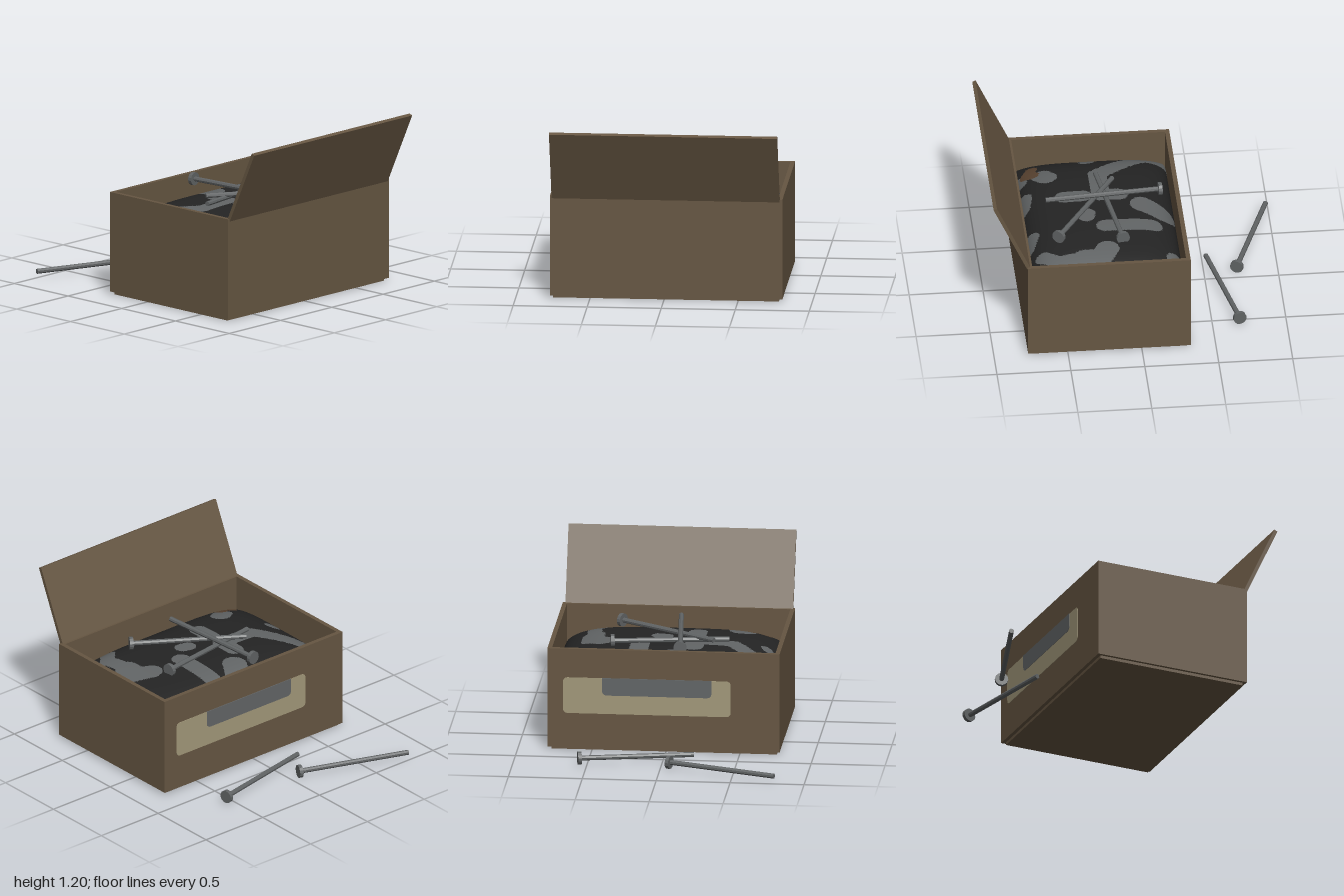
import * as THREE from 'three';

const mat = (name, color, extra = {}) => new THREE.MeshStandardMaterial({ name, color, ...extra });

export function createModel() {
  const model = new THREE.Group();
  model.name = 'boxOfNails';
  const cardboard = mat('cardboard', 0x665642);
  const paper = mat('label paper', 0xa2987a);
  const steel = mat('steel grey', 0x626566);
  const dark = mat('dark gap', 0x242424);
  const rust = mat('rust brown', 0x5c4532);
  const nailSteel = mat('nail steel', 0x606364, { flatShading: true });

  const add = (name, geo, material, parent = model) => {
    const m = new THREE.Mesh(geo, material);
    m.name = name;
    parent.add(m);
    return m;
  };
  // box given by its minimum and maximum corners
  const block = (name, a, b, material) => {
    const m = add(name, new THREE.BoxGeometry(b[0] - a[0], b[1] - a[1], b[2] - a[2]), material);
    m.position.set((a[0] + b[0]) / 2, (a[1] + b[1]) / 2, (a[2] + b[2]) / 2);
  };

  // carton: four walls, floor and inset base
  const X0 = -0.77, X1 = 0.8, Z0 = -0.33, Z1 = 0.77, T = 0.03;
  block('frontWall', [X0, 0.02, Z1 - T], [X1, 0.71, Z1], cardboard);
  block('backWall', [X0, 0.02, Z0], [X1, 0.71, Z0 + T], cardboard);
  block('rightWall', [X0, 0.02, Z0 + T], [X0 + T, 0.71, Z1 - T], cardboard);
  block('leftWall', [X1 - T, 0.02, Z0 + T], [X1, 0.71, Z1 - T], cardboard);
  block('floor', [X0 + T, 0.02, Z0 + T], [X1 - T, 0.05, Z1 - T], cardboard);
  block('base', [-0.75, 0, -0.305], [0.775, 0.02, 0.745], cardboard);

  // open lid leaning forwards
  const lid = add('lid', new THREE.BoxGeometry(1.54, 0.545, 0.025), cardboard);
  lid.position.set(0.012, 0.947, 0.877);
  lid.rotation.x = 0.43;

  // rounded plates on the back wall; rt and rb are the top and bottom radii
  const plate = (name, x0, x1, y0, y1, rt, rb, depth, material) => {
    const s = new THREE.Shape();
    s.moveTo(x0 + rb, y0).lineTo(x1 - rb, y0).quadraticCurveTo(x1, y0, x1, y0 + rb);
    s.lineTo(x1, y1 - rt).quadraticCurveTo(x1, y1, x1 - rt, y1);
    s.lineTo(x0 + rt, y1).quadraticCurveTo(x0, y1, x0, y1 - rt);
    s.lineTo(x0, y0 + rb).quadraticCurveTo(x0, y0, x0 + rb, y0);
    const m = add(name, new THREE.ExtrudeGeometry(s, { depth, bevelEnabled: false }), material);
    m.position.z = Z0 - depth;
  };
  plate('label', -0.44, 0.695, 0.26, 0.51, 0.035, 0.035, 0.003, paper);
  plate('labelPicture', -0.31, 0.43, 0.39, 0.511, 0.001, 0.035, 0.006, steel);

  // patches on the heap, as thick strokes: radius, then x, z along the path
  const greyStrokes = [
    [0.065, -0.67, -0.27, -0.67, -0.13, -0.41, 0.19, -0.15, 0.19, -0.15, 0.07],
    [0.062, -0.15, 0.31, -0.15, 0.44],
    [0.085, 0.05, -0.21, -0.03, -0.08],
    [0.065, 0.215, -0.13, 0.215, 0.19],
    [0.08, 0.55, -0.27, 0.59, -0.27],
    [0.048, 0.69, -0.11, 0.69, -0.09],
    [0.078, 0.47, 0.2, 0.55, 0.25, 0.55, 0.36],
    [0.05, 0.55, 0.4, 0.56, 0.55, 0.48, 0.64],
    [0.04, -0.64, 0.23, -0.63, 0.26],
    [0.07, -0.42, 0.53, -0.46, 0.56],
    [0.05, -0.5, 0.72, -0.46, 0.71],
    [0.075, -0.24, 0.72, -0.15, 0.74],
    [0.06, 0.22, 0.7, 0.32, 0.74],
    [0.055, 0.06, 0.3, 0.1, 0.31],
  ];
  const rustStroke = [0.043, -0.59, 0.62, -0.52, 0.66, -0.5, 0.62];
  const within = (x, z, [r, ...p]) => {
    for (let i = 0; i + 3 < p.length; i += 2) {
      const dx = p[i + 2] - p[i], dz = p[i + 3] - p[i + 1];
      const t = THREE.MathUtils.clamp(((x - p[i]) * dx + (z - p[i + 1]) * dz) / (dx * dx + dz * dz), 0, 1);
      if (Math.hypot(x - p[i] - t * dx, z - p[i + 1] - t * dz) < r) return true;
    }
    return false;
  };

  // heap of nails: domed grid whose cells are sorted into the three colours
  const cx = 0.015, cz = 0.22, hx = 0.755, hz = 0.52, R = 0.09, NX = 180, NZ = 124;
  const heapTop = new THREE.PlaneGeometry(2 * hx, 2 * hz, NX, NZ);
  heapTop.rotateX(-Math.PI / 2);
  const pos = heapTop.attributes.position;
  for (let i = 0; i < pos.count; i++) {
    const x = pos.getX(i), z = pos.getZ(i);
    const bulge = Math.max(0, (1 - (x / hx) ** 4) * (1 - (z / hz) ** 4));
    pos.setXYZ(i, x + cx, 0.44 + 0.19 * Math.sqrt(bulge), z + cz);
  }
  const bins = [[], [], []];
  const cells = heapTop.index.array;
  for (let i = 0; i < cells.length; i += 3) {
    const tri = [cells[i], cells[i + 1], cells[i + 2]];
    const x = tri.reduce((s, k) => s + pos.getX(k), 0) / 3;
    const z = tri.reduce((s, k) => s + pos.getZ(k), 0) / 3;
    const ex = Math.abs(x - cx) - hx + R, ez = Math.abs(z - cz) - hz + R;
    if (ex > 0 && ez > 0 && Math.hypot(ex, ez) > R) continue; // rounded corners
    const grey = greyStrokes.some((s) => within(x, z, s));
    bins[within(x, z, rustStroke) ? 2 : grey ? 1 : 0].push(...tri);
  }
  heapTop.setIndex(bins.flat());
  let start = 0;
  bins.forEach((b, k) => { heapTop.addGroup(start, b.length, k); start += b.length; });
  heapTop.computeVertexNormals();
  add('heapOfNails', heapTop, [dark, steel, rust]);

  // loose nails, each from head to tip at a height y
  const nail = (name, y, head, tip) => {
    const a = new THREE.Vector3(head[0], y, head[1]), b = new THREE.Vector3(tip[0], y, tip[1]);
    const len = a.distanceTo(b), g = new THREE.Group();
    g.name = name;
    const shaft = add('nailShaft', new THREE.CylinderGeometry(0.017, 0.017, len, 8), nailSteel, g);
    shaft.position.y = len / 2;
    const cap = add('nailHead', new THREE.CylinderGeometry(0.045, 0.045, 0.025, 14), nailSteel, g);
    cap.position.y = 0.006;
    g.position.copy(a);
    g.quaternion.setFromUnitVectors(new THREE.Vector3(0, 1, 0), b.sub(a).normalize());
    model.add(g);
  };
  nail('topNailUpper', 0.7, [-0.085, -0.21], [-0.02, 0.575]);
  nail('topNailMiddle', 0.67, [0.38, 0.525], [-0.285, 0.1]);
  nail('topNailLower', 0.65, [0.405, 0.09], [-0.38, 0.205]);
  nail('groundNailRight', 0.05, [-0.055, -0.72], [-0.795, -0.985]);
  nail('groundNailLeft', 0.05, [0.555, -0.685], [-0.21, -0.525]);

  return model;
}
